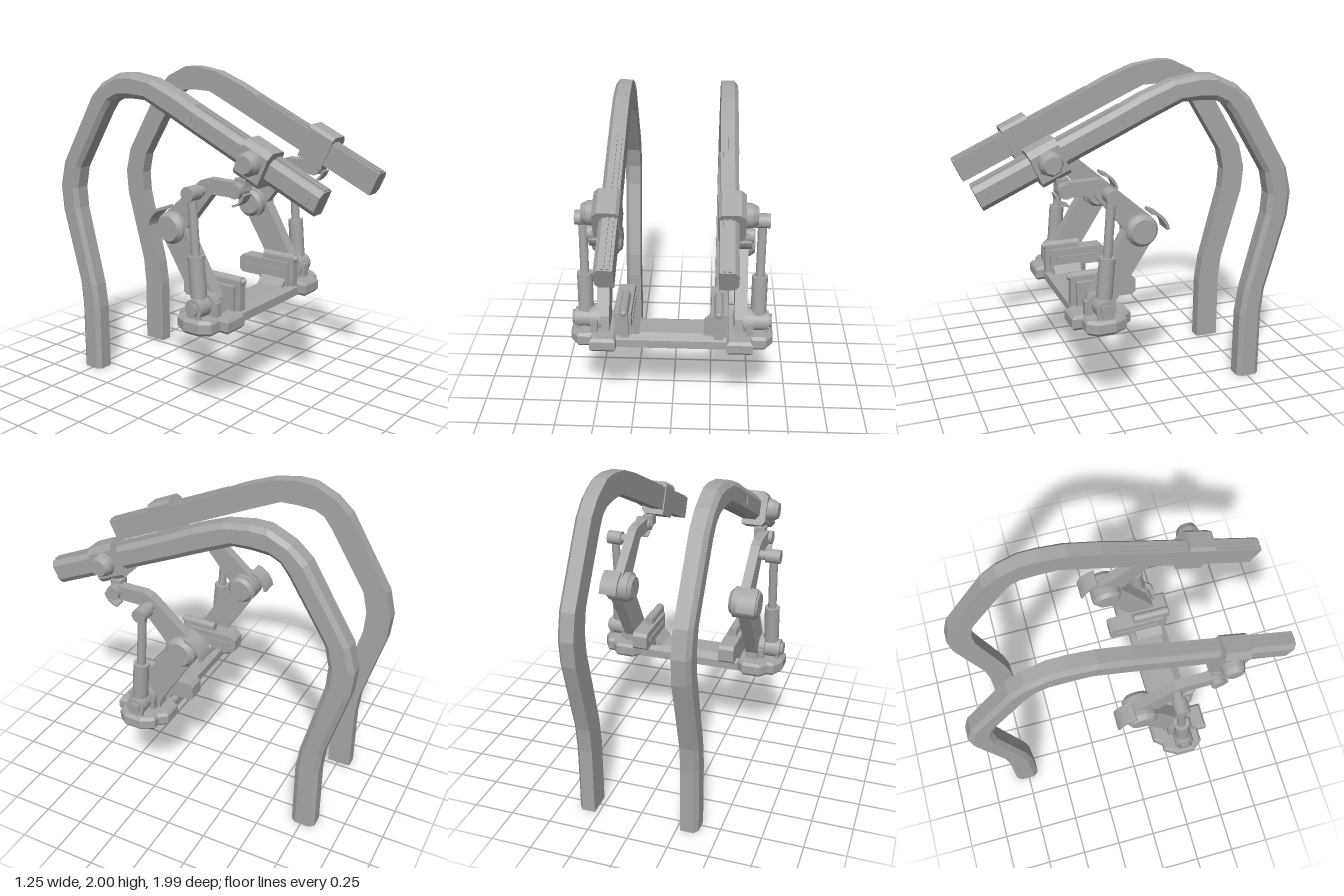
import * as THREE from 'three';
import { mergeGeometries } from 'three/addons/utils/BufferGeometryUtils.js';

const TILT = 0.424; // slope of the straight front half of each rail

// Mirror a non-indexed geometry across x = 0, keeping faces outward
function mirrored(geo) {
  const g = geo.clone().scale(-1, 1, 1);
  for (const key of Object.keys(g.attributes)) {
    const { array, itemSize: n, count } = g.attributes[key];
    for (let v = 0; v < count; v += 3) {
      for (let k = 0; k < n; k++) {
        const a = (v + 1) * n + k, b = (v + 2) * n + k;
        [array[a], array[b]] = [array[b], array[a]];
      }
    }
  }
  return g;
}

function box(x0, x1, y0, y1, z0, z1) {
  return new THREE.BoxGeometry(x1 - x0, y1 - y0, z1 - z0)
    .translate((x0 + x1) / 2, (y0 + y1) / 2, (z0 + z1) / 2);
}

// Cylinder along x; r0 at x0, r1 at x1
function pin(x0, x1, y, z, r0, r1 = r0, sides = 24) {
  return new THREE.CylinderGeometry(r1, r0, x1 - x0, sides)
    .rotateZ(-Math.PI / 2).translate((x0 + x1) / 2, y, z);
}

// Extrude a side-view shape (drawn in -z, y) from x0 to x1
function extrudeX(shape, x0, x1) {
  return new THREE.ExtrudeGeometry(shape, { depth: x1 - x0, bevelEnabled: false, curveSegments: 12 })
    .rotateY(Math.PI / 2).translate(x0, 0, 0);
}

function plate(points, x0, x1) {
  return extrudeX(new THREE.Shape(points.map(([z, y]) => new THREE.Vector2(-z, y))), x0, x1);
}

function arcPlate(z, y, r, t, a0, a1, x0, x1) {
  const s = new THREE.Shape();
  s.absarc(-z, y, r, a0, a1, false);
  s.absarc(-z, y, r - t, a1, a0, true);
  return extrudeX(s, x0, x1);
}

// Cylinder between two [z, y] points at a fixed x
function strut(x, [z0, y0], [z1, y1], r) {
  return new THREE.CylinderGeometry(r, r, Math.hypot(z1 - z0, y1 - y0), 20)
    .rotateX(Math.atan2(z1 - z0, y1 - y0)).translate(x, (y0 + y1) / 2, (z0 + z1) / 2);
}

// Rail lofted through [outer z, outer y, inner z, inner y] stations
function railGeometry() {
  const stations = [
    [0.995, 1.445, 0.935, 1.31], [0.18, 1.812, 0.12, 1.678], [0, 1.9, -0.04, 1.752],
    [-0.19, 1.973, -0.25, 1.845], [-0.35, 1.998, -0.36, 1.848], [-0.45, 1.995, -0.47, 1.84],
    [-0.59, 1.93, -0.53, 1.81], [-0.685, 1.845, -0.58, 1.745], [-0.957, 1.395, -0.813, 1.37],
    [-0.997, 1.235, -0.843, 1.235], [-0.984, 1.075, -0.834, 1.1], [-0.85, 0.594, -0.706, 0.594],
    [-0.834, 0.433, -0.684, 0.433], [-0.834, 0, -0.682, 0],
  ];
  const section = [[0.275, 0], [0.275, 1], [0.357, 1], [0.38, 0.8], [0.38, 0.2], [0.357, 0]];
  const rings = stations.map(([oz, oy, iz, iy]) =>
    section.map(([x, t]) => [x, iy + (oy - iy) * t, iz + (oz - iz) * t]));
  const out = [], n = section.length, last = rings.length - 1;
  for (let k = 0; k < last; k++) {
    for (let j = 0; j < n; j++) {
      const a = rings[k][j], b = rings[k][(j + 1) % n];
      const c = rings[k + 1][(j + 1) % n], d = rings[k + 1][j];
      out.push(...a, ...b, ...c, ...a, ...c, ...d);
    }
  }
  for (let j = 1; j < n - 1; j++) {
    out.push(...rings[0][0], ...rings[0][j + 1], ...rings[0][j]);
    out.push(...rings[last][0], ...rings[last][j], ...rings[last][j + 1]);
  }
  const g = new THREE.BufferGeometry();
  g.setAttribute('position', new THREE.Float32BufferAttribute(out, 3));
  g.computeVertexNormals();
  return g;
}

export function createModel() {
  const model = new THREE.Group();
  model.name = 'railFrame';
  const grey = new THREE.MeshStandardMaterial({ color: 0xa6a6a6 });
  grey.name = 'grey';

  const add = (name, geo) => {
    const m = new THREE.Mesh(geo, grey);
    m.name = name;
    model.add(m);
  };
  // Add a part on the left (+x) and its mirror on the right
  const pair = (name, ...geos) => {
    const flat = geos.map((g) => {
      const f = g.index ? g.toNonIndexed() : g;
      f.deleteAttribute('uv');
      return f;
    });
    const g = mergeGeometries(flat);
    add(name + 'Left', g);
    add(name + 'Right', mirrored(g));
  };

  // Curved rails with raised guide strips and side marks
  pair('rail', railGeometry());
  const strip = (x0, x1) => box(x0, x1, -0.006, 0.01, -0.475, 0.475)
    .rotateX(TILT).translate(0, 1.643, 0.556);
  pair('guideStrips', strip(0.292, 0.308), strip(0.32, 0.338));
  const mark = (z, y) => [[0, -0.028, 0.028], [0.026, -0.004, 0.004], [-0.026, -0.004, 0.004]]
    .map(([dy, a, b], i) => box(0.378, 0.384, dy - (i ? 0.004 : 0.026), dy + (i ? 0.004 : 0.026),
      i ? -0.022 : -0.026, i ? 0.022 : -0.018).rotateX(TILT).translate(0, y, z));
  pair('railMarks', ...mark(0.93, 1.385), ...mark(0.14, 1.75));

  // Sliding clamp around each rail, with a tapered knob
  const collar = new THREE.Shape([[0.268, -0.11], [0.4, -0.11], [0.42, -0.085], [0.42, 0.075],
    [0.39, 0.11], [0.285, 0.11], [0.268, 0.09]].map((p) => new THREE.Vector2(...p)));
  pair('clamp', new THREE.ExtrudeGeometry(collar, { depth: 0.18, bevelEnabled: false })
    .translate(0, 0, -0.09).rotateX(TILT).translate(0, 1.56, 0.565));
  const knob = (x0, x1, r0, r1) => pin(x0, x1, 0, 0, r0, r1, 8)
    .rotateX(Math.PI / 8 + TILT).translate(0, 1.565, 0.565);
  pair('clampKnob', knob(0.42, 0.455, 0.075, 0.07), knob(0.455, 0.487, 0.07, 0.052));

  // Front pivot and its hook
  pair('clampPivot', pin(0.37, 0.47, 1.405, 0.49, 0.043),
    box(0.35, 0.42, 1.4, 1.47, 0.46, 0.53));
  pair('hook', arcPlate(0.45, 1.417, 0.108, 0.012, 3.4, 4.5, 0.39, 0.46));

  // Bent upper arm and straight lower arm
  pair('upperArm', plate([[0.49, 1.362], [0.53, 1.385], [0.53, 1.43], [0.49, 1.45], [0.29, 1.452],
    [0.24, 1.435], [0.2, 1.4], [-0.03, 1.2], [0, 1.06], [0.13, 1.13], [0.32, 1.362]], 0.385, 0.445));
  pair('lowerArm', plate([[0.12, 1.16], [0.05, 1.2], [-0.03, 1.15], [-0.035, 1.07], [0.2, 0.7],
    [0.2, 0.64], [0.38, 0.64], [0.36, 0.75]], 0.385, 0.463));

  // Knee joint and curved guard
  pair('knee', pin(0.32, 0.345, 1.128, 0.037, 0.07, 0.09), pin(0.345, 0.475, 1.128, 0.037, 0.097),
    pin(0.475, 0.505, 1.128, 0.037, 0.097, 0.075));
  pair('kneeGuard', arcPlate(0.021, 1.107, 0.146, 0.018, 0.15, 1.35, 0.39, 0.505));

  // Piston with its end eyes
  const top = [0.246, 1.374], foot = [0.3, 0.711];
  pair('pistonRod', strut(0.533, [0.275, 0.98], top, 0.027));
  pair('pistonBarrel', strut(0.533, [0.294, 0.77], [0.273, 1.015], 0.048),
    strut(0.533, foot, [0.294, 0.8], 0.035));
  pair('pistonTopEye', pin(0.4, 0.49, top[1], top[0], 0.03), pin(0.485, 0.578, top[1], top[0], 0.044));
  pair('footPivot', pin(0.44, 0.5, 0.711, 0.3, 0.082), pin(0.5, 0.597, 0.711, 0.3, 0.06),
    pin(0.597, 0.617, 0.711, 0.3, 0.042, 0.042, 6));
  pair('footBracket', box(0.455, 0.5, 0.64, 0.74, 0.22, 0.4), box(0.575, 0.595, 0.64, 0.72, 0.25, 0.35));

  // Hollow cross beam, stepped feet and gussets
  add('crossBeam', plate([[0.42, 0.567], [0.42, 0.62], [0.37, 0.65], [0.22, 0.65], [0.17, 0.62],
    [0.17, 0.567], [0.19, 0.567], [0.19, 0.61], [0.23, 0.63], [0.36, 0.63], [0.4, 0.61],
    [0.4, 0.567]], -0.36, 0.36));
  const footShape = new THREE.Shape([[0.34, 0.17], [0.38, 0.12], [0.5, 0.12], [0.54, 0.17],
    [0.58, 0.17], [0.625, 0.25], [0.625, 0.36], [0.58, 0.42], [0.5, 0.42], [0.5, 0.48],
    [0.34, 0.48]].map(([x, z]) => new THREE.Vector2(x, -z)));
  pair('foot', new THREE.ExtrudeGeometry(footShape, { depth: 0.055, bevelEnabled: true,
    bevelThickness: 0.018, bevelSize: 0.015, bevelOffset: -0.015, bevelSegments: 1 })
    .rotateX(-Math.PI / 2).translate(0, 0.583, 0));
  const gusset = new THREE.Shape([[0.195, 0.645], [0.25, 0.645], [0.25, 0.7]]
    .map((p) => new THREE.Vector2(...p)));
  pair('gusset', new THREE.ExtrudeGeometry(gusset, { depth: 0.18, bevelEnabled: false })
    .translate(0, 0, 0.205));

  // Inner latch blocks with a rounded front tab and button
  pair('latchBlock', plate([[0.03, 0.7], [0.05, 0.682], [0.18, 0.682], [0.2, 0.645], [0.4, 0.645],
    [0.4, 0.8], [0.05, 0.8], [0.03, 0.78]], 0.245, 0.345));
  pair('latchTab', box(0.263, 0.317, 0.645, 0.825, 0.2, 0.43),
    new THREE.CylinderGeometry(0.027, 0.027, 0.23, 16).rotateX(Math.PI / 2).translate(0.29, 0.825, 0.315));
  pair('latchButton', new THREE.SphereGeometry(0.021, 16, 10).translate(0.288, 0.825, 0.43));
  pair('latchRidge', box(0.237, 0.247, 0.725, 0.755, 0.08, 0.36));

  return model;
}
